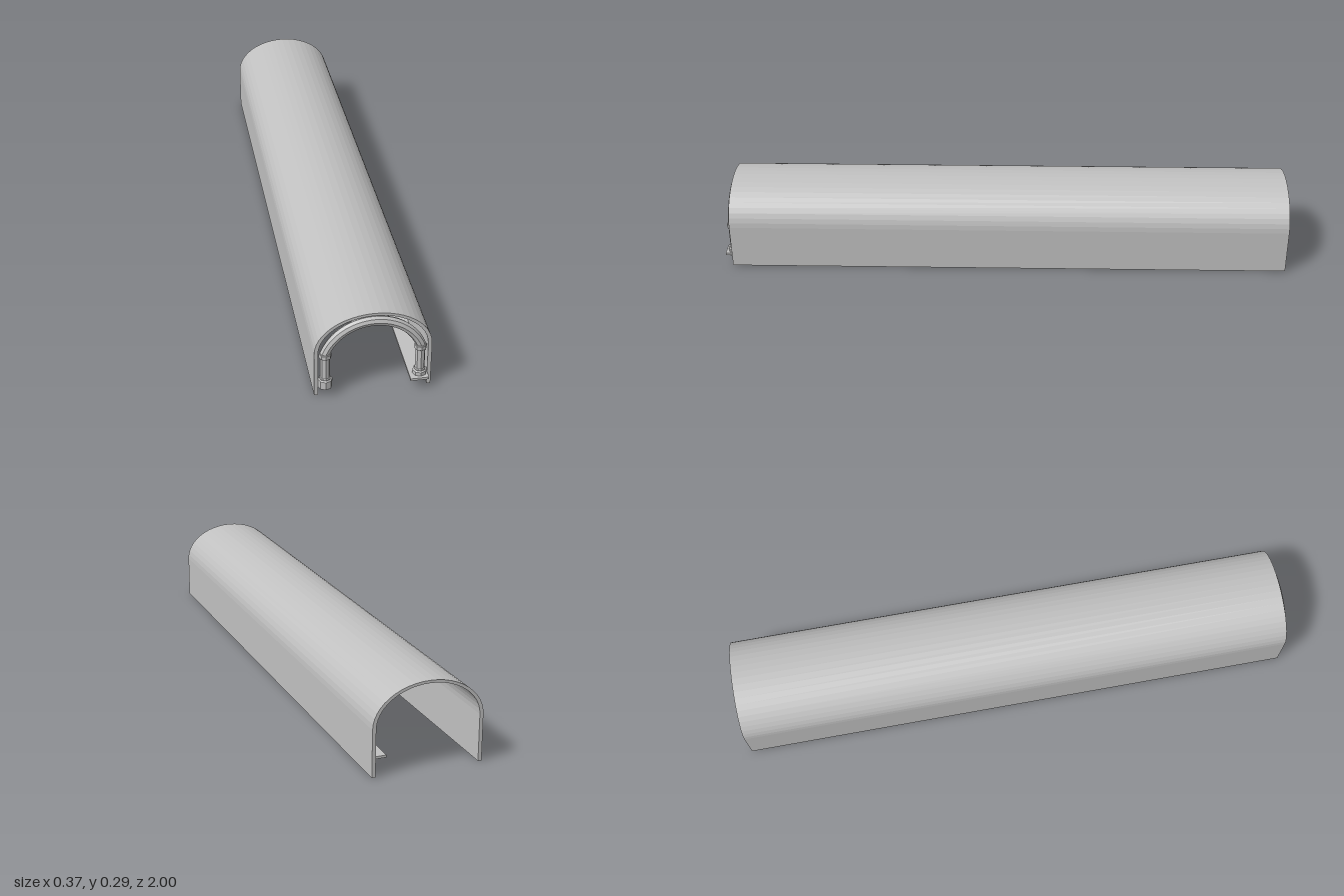
import * as THREE from 'three';

export function createModel() {
  const model = new THREE.Group();
  model.name = 'vaultedTunnel';
  const grey = new THREE.MeshStandardMaterial({ color: 0xc0c0c0, flatShading: true });
  grey.name = 'plain grey';

  const add = (name, geometry, parent = model) => {
    const mesh = new THREE.Mesh(geometry, grey);
    mesh.name = name;
    parent.add(mesh);
    return mesh;
  };

  // Vault shell: straight walls with an elliptical roof, inner and outer outline
  const springY = 0.155, segments = 24;
  const shell = new THREE.Shape();
  shell.moveTo(0.183, 0);
  for (let i = 0; i <= segments; i++) {
    const a = (Math.PI * i) / segments;
    shell.lineTo(0.183 * Math.cos(a), springY + 0.133 * Math.sin(a));
  }
  shell.lineTo(-0.183, 0);
  shell.lineTo(-0.171, 0);
  for (let i = segments; i >= 0; i--) {
    const a = (Math.PI * i) / segments;
    shell.lineTo(0.171 * Math.cos(a), springY + 0.124 * Math.sin(a));
  }
  shell.lineTo(0.171, 0);
  shell.closePath();
  add('vaultShell', new THREE.ExtrudeGeometry(shell, { depth: 1.975, bevelEnabled: false }))
    .position.z = -1;

  // Entrance arch: octagonal columns carrying a curved octagonal rib
  const entrance = new THREE.Group();
  entrance.name = 'entranceArch';
  entrance.position.z = 0.97;
  model.add(entrance);

  const columnX = 0.148;
  const columnProfile = [
    [0, 0.029], [0.0225, 0.029], [0.0225, 0.057], [0.018, 0.06], [0.018, 0.063],
    [0.0155, 0.066], [0.0155, 0.137], [0.0195, 0.14], [0.0195, 0.153],
    [0.018, 0.155], [0, 0.155],
  ].map(([r, y]) => new THREE.Vector2(r, y));
  for (const [name, side] of [['leftColumn', 1], ['rightColumn', -1]]) {
    add(name, new THREE.LatheGeometry(columnProfile, 8), entrance).position.x = side * columnX;
  }

  // Rib follows a circular arc between the two collars
  const radius = 0.158, centreY = 0.1;
  const start = Math.acos(columnX / radius) - 0.03;
  const points = [];
  for (let i = 0; i <= 24; i++) {
    const a = start + ((Math.PI - 2 * start) * i) / 24;
    points.push(new THREE.Vector3(radius * Math.cos(a), centreY + radius * Math.sin(a), 0));
  }
  add('archRib', new THREE.TubeGeometry(new THREE.CatmullRomCurve3(points), 32, 0.0155, 8), entrance);

  // Long ledge along the inside of the left wall
  add('wallLedge', new THREE.BoxGeometry(0.058, 0.008, 1.95)).position.set(0.143, 0.04, 0.025);

  return model;
}
